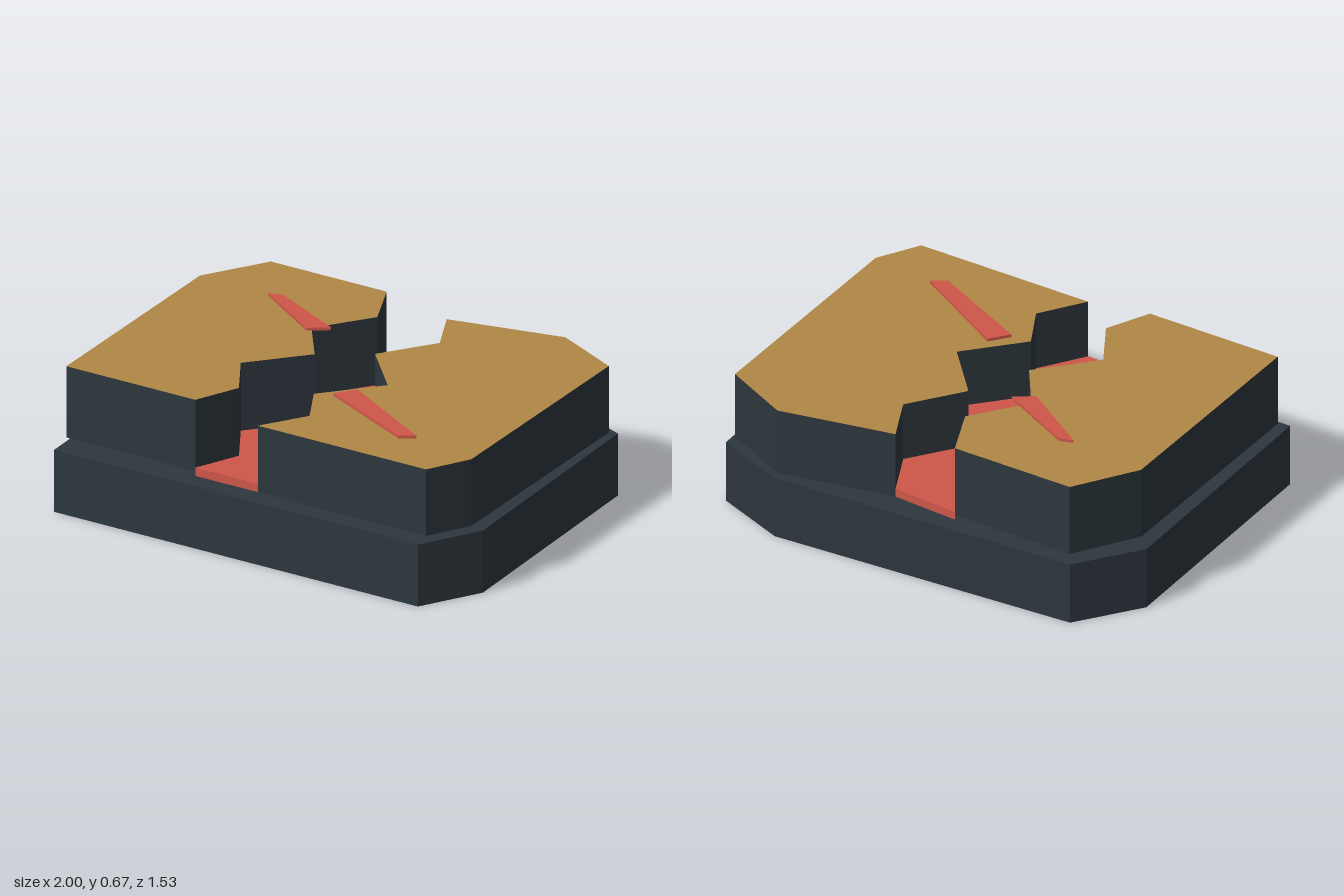
import * as THREE from 'three';

const stone = new THREE.MeshStandardMaterial({ name: 'darkStone', color: 0x2d373e });
const ochre = new THREE.MeshStandardMaterial({ name: 'ochreGround', color: 0xb08845 });
const lava = new THREE.MeshStandardMaterial({ name: 'redLava', color: 0xd0574a });

// Upright prism from an [x, z] outline, with its own material on the top face
function prism(name, outline, bottom, top, sideMaterial, topMaterial = sideMaterial) {
  const shape = new THREE.Shape(outline.map(([x, z]) => new THREE.Vector2(x, -z)));
  const geometry = new THREE.ExtrudeGeometry(shape, { depth: top - bottom, bevelEnabled: false });
  geometry.rotateX(-Math.PI / 2);
  const lids = geometry.groups[0].count;
  const total = geometry.attributes.position.count;
  geometry.clearGroups();
  geometry.addGroup(0, lids / 2, 0);
  geometry.addGroup(lids / 2, lids / 2, 1);
  geometry.addGroup(lids, total - lids, 0);
  const mesh = new THREE.Mesh(geometry, [sideMaterial, topMaterial]);
  mesh.name = name;
  mesh.position.y = bottom;
  return mesh;
}

export function createModel() {
  const model = new THREE.Group();
  model.name = 'splitGroundTile';

  // Zigzag banks of the fissure, front to back
  const leftBank = [[-0.3, 0.7], [-0.21, 0.5], [-0.34, 0.28], [-0.125, 0.04], [-0.28, -0.18], [-0.105, -0.42], [-0.21, -0.66]];
  const rightBank = [[0.01, 0.7], [0.14, 0.5], [0.035, 0.3], [0.25, 0.06], [0.035, -0.18], [0.205, -0.42], [0.1, -0.64]];

  // Foundation slab
  model.add(prism('base', [
    [-0.96, 0.765], [0.845, 0.765], [1, 0.5], [0.95, -0.64], [0.62, -0.77], [-0.8, -0.68], [-1, -0.4],
  ], 0, 0.285, stone));

  // Two ground plates, the left one slightly higher
  model.add(prism('leftPlate', [
    ...leftBank, [-0.785, -0.66], [-0.96, -0.38], [-0.94, 0.7],
  ], 0.322, 0.65, stone, ochre));
  model.add(prism('rightPlate', [
    ...rightBank, [0.62, -0.75], [0.93, -0.6], [0.95, 0.51], [0.845, 0.7],
  ], 0.3, 0.606, stone, ochre));

  // Lava at the bottom of the fissure
  model.add(prism('lavaFlow', [...leftBank, ...[...rightBank].reverse()], 0.3, 0.338, lava));

  // Glowing cracks on the plates
  model.add(prism('leftCrack', [[-0.605, -0.355], [-0.545, -0.375], [-0.195, -0.2], [-0.28, -0.14]], 0.652, 0.665, lava));
  model.add(prism('rightCrack', [[0.12, 0.28], [0.185, 0.195], [0.645, 0.46], [0.58, 0.5]], 0.609, 0.622, lava));

  return model;
}
